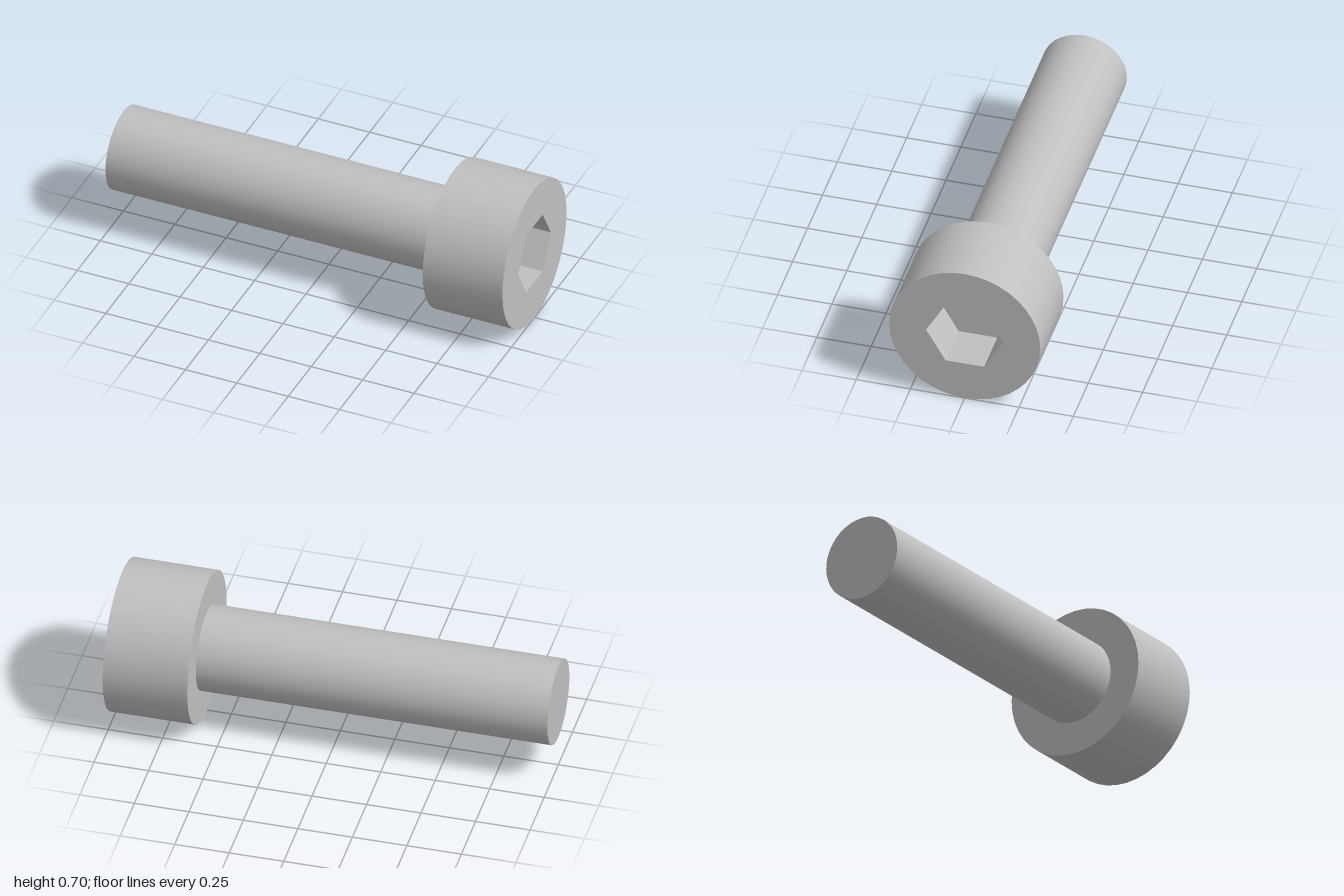
import * as THREE from 'three';
import { toCreasedNormals } from 'three/addons/utils/BufferGeometryUtils.js';

const HEAD_RADIUS = 0.348, SHANK_RADIUS = 0.195, SOCKET_RADIUS = 0.178;
const TAIL_X = -1, SHOULDER_X = 0.612, FACE_X = 1, SOCKET_DEPTH = 0.22;
const SIDES = 40;

// Regular polygon with its first corner on the +x axis
function polygon(radius, sides) {
  return Array.from({ length: sides }, (_, i) => {
    const a = (i / sides) * Math.PI * 2;
    return new THREE.Vector2(Math.cos(a) * radius, Math.sin(a) * radius);
  });
}

export function createModel() {
  const steel = new THREE.MeshStandardMaterial({ color: 0xc0c0c0 });
  steel.name = 'steel';
  const bolt = new THREE.Group();
  bolt.name = 'socketHeadBolt';

  // Head: round disc with a hexagonal hole, smooth round the rim
  const outline = new THREE.Shape(polygon(HEAD_RADIUS, SIDES));
  outline.holes.push(new THREE.Path(polygon(SOCKET_RADIUS, 6).reverse()));
  const headGeometry = toCreasedNormals(
    new THREE.ExtrudeGeometry(outline, { depth: FACE_X - SHOULDER_X, bevelEnabled: false }), 0.5);
  headGeometry.rotateY(Math.PI / 2);
  const head = new THREE.Mesh(headGeometry, steel);
  head.name = 'head';
  head.position.x = SHOULDER_X;

  // Shank: runs into the head, where its end forms the socket floor
  const endX = FACE_X - SOCKET_DEPTH;
  const shankGeometry = new THREE.CylinderGeometry(SHANK_RADIUS, SHANK_RADIUS, endX - TAIL_X, SIDES);
  shankGeometry.rotateZ(-Math.PI / 2);
  const shank = new THREE.Mesh(shankGeometry, steel);
  shank.name = 'shank';
  shank.position.x = (endX + TAIL_X) / 2;

  bolt.add(head, shank);
  bolt.position.y = HEAD_RADIUS;

  const model = new THREE.Group();
  model.name = 'bolt';
  model.add(bolt);
  return model;
}
